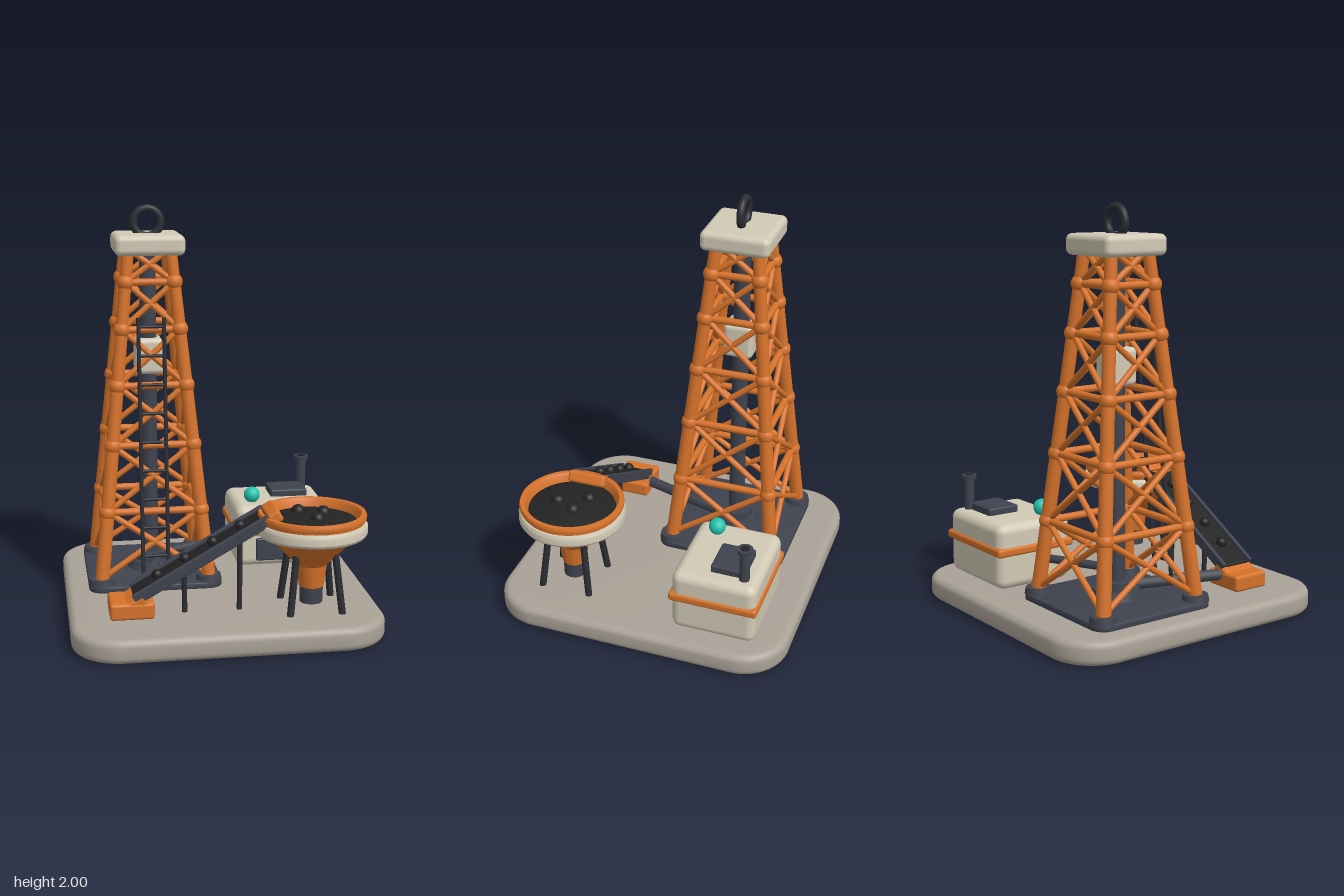
import * as THREE from 'three';
import { toCreasedNormals } from 'three/addons/utils/BufferGeometryUtils.js';
import { RoundedBoxGeometry } from 'three/addons/geometries/RoundedBoxGeometry.js';

const paint = (name, color) => Object.assign(new THREE.MeshStandardMaterial({ color }), { name });
const V = (x, y, z) => new THREE.Vector3(x, y, z);

export function createModel() {
  const orange = paint('orange', 0xd6722a), slate = paint('slate', 0x3f434e);
  const charcoal = paint('charcoal', 0x2b2d33), black = paint('ore black', 0x232323);
  const cream = paint('cream', 0xd2cab6), stone = paint('stone grey', 0xaaa297);
  const teal = paint('teal', 0x22c4b2);
  const model = new THREE.Group();
  model.name = 'drillingSite';

  const group = (name, x = 0, y = 0, z = 0) => {
    const g = new THREE.Group();
    g.name = name;
    g.position.set(x, y, z);
    model.add(g);
    return g;
  };
  const add = (parent, name, geometry, material, x = 0, y = 0, z = 0) => {
    const m = new THREE.Mesh(geometry, material);
    m.name = name;
    m.position.set(x, y, z);
    parent.add(m);
    return m;
  };
  const box = (parent, name, mat, size, pos, r = 0.02) =>
    add(parent, name, new RoundedBoxGeometry(...size, 4, r), mat, ...pos);
  const disc = (parent, name, mat, rTop, rBottom, y0, y1, x = 0, z = 0) =>
    add(parent, name, new THREE.CylinderGeometry(rTop, rBottom, y1 - y0, 32), mat, x, (y0 + y1) / 2, z);
  const ball = (parent, name, mat, r, x, y, z) =>
    add(parent, name, new THREE.SphereGeometry(r, 20, 14), mat, x, y, z);
  // Round bar between two points
  const bar = (parent, name, mat, a, b, r, rEnd = r) => {
    const d = b.clone().sub(a);
    const m = add(parent, name, new THREE.CylinderGeometry(rEnd, r, d.length(), 14), mat);
    m.position.copy(a).add(b).multiplyScalar(0.5);
    m.quaternion.setFromUnitVectors(V(0, 1, 0), d.normalize());
    return m;
  };
  // Horizontal plate with rounded corners and bevelled edges
  const plate = (parent, name, mat, half, corner, y0, y1, bevel) => {
    const h = half - bevel, c = corner - bevel, s = new THREE.Shape();
    [[1, 1], [-1, 1], [-1, -1], [1, -1]].forEach(([i, j], k) =>
      s.absarc(i * (h - c), j * (h - c), c, k * Math.PI / 2, (k + 1) * Math.PI / 2));
    const g = new THREE.ExtrudeGeometry(s, {
      depth: y1 - y0 - 2 * bevel, bevelThickness: bevel, bevelSize: bevel, bevelSegments: 5, curveSegments: 12,
    });
    g.rotateX(-Math.PI / 2).translate(0, y0 + bevel, 0);
    return add(parent, name, toCreasedNormals(g, 0.6), mat);
  };

  plate(model, 'groundSlab', stone, 0.745, 0.23, 0, 0.115, 0.035);

  // Tower
  const tower = group('tower', -0.3, 0, -0.225);
  const spread = (y) => 0.283 - 0.1 * y;
  const corners = [[1, 1], [-1, 1], [-1, -1], [1, -1]];
  const node = (k, y) => V(corners[k % 4][0] * spread(y), y, corners[k % 4][1] * spread(y));
  const levels = [0.17, 0.5, 0.83, 1.125, 1.4, 1.63, 1.79];
  plate(tower, 'towerPlate', slate, 0.333, 0.07, 0.11, 0.145, 0.008);
  corners.forEach(([i, j], k) => {
    disc(tower, 'foot', slate, 0.06, 0.066, 0.14, 0.172, i * 0.268, j * 0.268);
    bar(tower, 'leg', orange, node(k, 0.15), node(k, 1.79), 0.036, 0.03);
    levels.slice(0, -1).forEach((y, n) => {
      const top = levels[n + 1];
      if (n) {
        ball(tower, 'joint', orange, 0.042, ...node(k, y).toArray());
        bar(tower, 'crossbar', orange, node(k, y), node(k + 1, y), 0.018);
      }
      bar(tower, 'brace', orange, node(k, y), node(k + 1, top), 0.015);
      bar(tower, 'brace', orange, node(k + 1, y), node(k, top), 0.015);
    });
  });
  box(tower, 'crown', cream, [0.345, 0.1, 0.345], [0, 1.81, 0], 0.03);
  add(tower, 'liftingRing', new THREE.TorusGeometry(0.068, 0.019, 16, 40), charcoal, 0, 1.913, 0);

  // Drill string
  disc(tower, 'drillPipe', slate, 0.041, 0.041, 0.14, 1.78);
  disc(tower, 'wellCollar', slate, 0.11, 0.125, 0.14, 0.185);
  disc(tower, 'wellHead', slate, 0.085, 0.085, 0.18, 0.225);
  box(tower, 'drillDrive', cream, [0.14, 0.18, 0.15], [0, 1.25, 0], 0.025);

  // Ladder leaning along the front face
  const ladder = (x, y) => V(x, y, spread(y) + 0.022);
  for (const x of [-0.063, 0.063]) bar(tower, 'ladderRail', charcoal, ladder(x, 0.2), ladder(x, 1.46), 0.01);
  for (let i = 0; i < 9; i++) {
    const y = 0.28 + i * 0.142;
    bar(tower, 'ladderRung', charcoal, ladder(-0.063, y), ladder(0.063, y), 0.008);
  }

  // Pipes leaving the well
  bar(model, 'feederPipe', slate, V(-0.28, 0.18, -0.15), V(-0.43, 0.18, 0.34), 0.028);
  bar(model, 'generatorPipe', slate, V(-0.22, 0.24, -0.14), V(0.17, 0.24, -0.335), 0.021);

  // Conveyor
  const tilt = Math.atan(0.57);
  const beltY = (x) => 0.58 + (x - 0.195) * 0.57;
  const conveyor = group('conveyor', 0, 0, 0.407);
  box(conveyor, 'feederBox', orange, [0.21, 0.08, 0.195], [-0.455, 0.16, 0], 0.015);
  box(conveyor, 'feederLip', orange, [0.13, 0.06, 0.19], [-0.445, 0.185, 0], 0.015).rotation.z = tilt;
  const length = 0.64 / Math.cos(tilt);
  box(conveyor, 'belt', black, [length, 0.03, 0.15], [-0.125, beltY(-0.125), 0], 0.01).rotation.z = tilt;
  for (const s of [-1, 1]) {
    box(conveyor, 'beltRail', slate, [length, 0.055, 0.02], [-0.125, beltY(-0.125), s * 0.084], 0.006).rotation.z = tilt;
  }
  box(conveyor, 'beltHead', orange, [0.065, 0.06, 0.195], [0.22, 0.587, 0], 0.015).rotation.z = tilt;
  for (const x of [-0.33, -0.198, -0.065, 0.066]) ball(conveyor, 'ore', black, 0.026, x, beltY(x) + 0.027, 0);
  for (const x of [-0.2, 0.065]) bar(conveyor, 'post', charcoal, V(x, 0.11, 0), V(x, beltY(x), 0), 0.013);

  // Ore hopper
  const hopper = group('hopper', 0.413, 0, 0.413);
  const lathe = (name, mat, pts) => add(hopper, name,
    toCreasedNormals(new THREE.LatheGeometry(pts.map((p) => new THREE.Vector2(...p)), 48), 0.5), mat);
  lathe('funnel', orange, [[0, 0.22], [0.06, 0.22], [0.075, 0.33], [0.22, 0.48], [0.245, 0.5], [0.25, 0.555],
    [0.258, 0.56], [0.26, 0.575], [0.255, 0.588], [0.235, 0.588], [0.225, 0.575], [0.215, 0.53], [0, 0.5]]);
  lathe('hopperBand', cream, [[0.24, 0.48], [0.257, 0.482], [0.265, 0.495], [0.265, 0.53], [0.257, 0.545], [0.24, 0.547]]);
  lathe('oreHeap', black, [[0.22, 0.53], [0.215, 0.545], [0.17, 0.56], [0.1, 0.572], [0, 0.578]]);
  for (const [x, z] of [[-0.055, -0.068], [0.06, -0.03], [0.01, 0.072]]) ball(hopper, 'ore', black, 0.034, x, 0.57, z);
  disc(hopper, 'spout', slate, 0.057, 0.055, 0.14, 0.228);
  for (const [i, j] of corners) {
    bar(hopper, 'hopperLeg', charcoal, V(i * 0.126, 0.11, j * 0.126), V(i * 0.094, 0.4, j * 0.094), 0.017);
  }

  // Generator
  const generator = group('generator', 0.39, 0, -0.39);
  box(generator, 'housing', cream, [0.49, 0.325, 0.42], [0, 0.278, 0], 0.045);
  box(generator, 'band', orange, [0.51, 0.045, 0.44], [0, 0.307, 0], 0.015);
  box(generator, 'frontVent', slate, [0.27, 0.12, 0.03], [-0.005, 0.21, 0.208], 0.008);
  box(generator, 'roofHatch', slate, [0.195, 0.05, 0.17], [0.068, 0.452, -0.05], 0.01);
  ball(generator, 'beacon', teal, 0.042, -0.145, 0.477, 0.1);
  disc(generator, 'exhaust', slate, 0.025, 0.025, 0.43, 0.605, 0.167, -0.135);
  disc(generator, 'exhaustCap', slate, 0.038, 0.036, 0.597, 0.62, 0.167, -0.135);
  disc(generator, 'exhaustMouth', black, 0.022, 0.022, 0.615, 0.622, 0.167, -0.135);

  return model;
}
